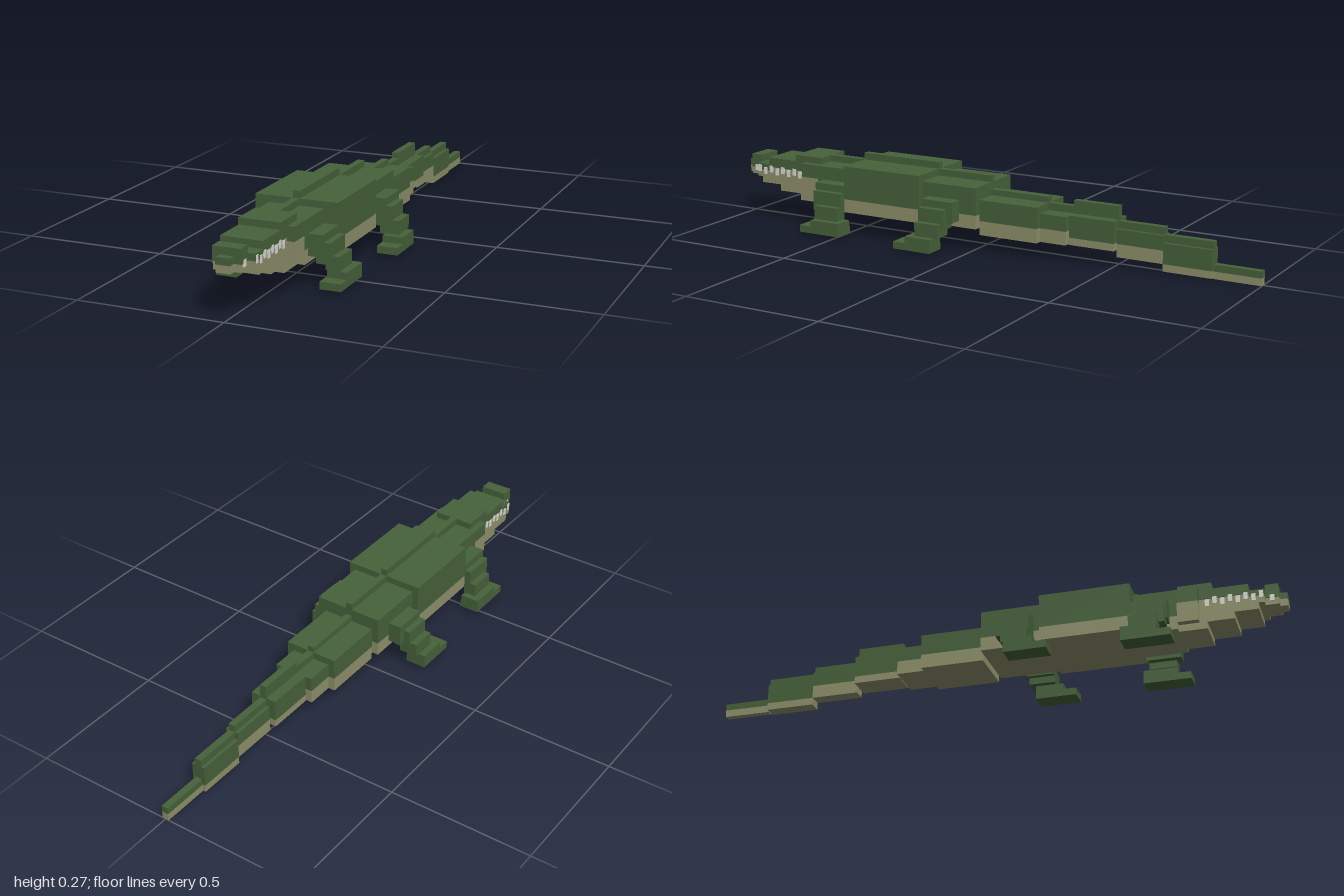
import * as THREE from 'three';

export function createModel() {
  const root = new THREE.Group();
  root.name = 'crocodile';
  const mat = (name, color) => {
    const m = new THREE.MeshStandardMaterial({ color });
    m.name = name;
    return m;
  };
  const green = mat('scaleGreen', 0x46623a);
  const tan = mat('bellyTan', 0x8f916b);
  const white = mat('toothWhite', 0xdcdcd6);

  // Box given by its limits on each axis
  const box = (name, m, x0, x1, y0, y1, z0, z1, parent = root) => {
    const mesh = new THREE.Mesh(new THREE.BoxGeometry(x1 - x0, y1 - y0, z1 - z0), m);
    mesh.position.set((x0 + x1) / 2, (y0 + y1) / 2, (z0 + z1) / 2);
    mesh.name = name;
    parent.add(mesh);
  };
  const mid = (name, m, w, y0, y1, z0, z1) => box(name, m, -w, w, y0, y1, z0, z1);

  // Trunk and tail: name, z0, z1, half width, bottom, colour split, back, ridge
  const segments = [
    ['tailTip', -1.0, -0.835, 0.012, 0.002, 0.027, 0.05, 0],
    ['tailFourth', -0.835, -0.665, 0.024, 0.005, 0.03, 0.1, 0.125],
    ['tailThird', -0.665, -0.5, 0.024, 0.03, 0.075, 0.125, 0.15],
    ['tailSecond', -0.5, -0.335, 0.047, 0.055, 0.08, 0.155, 0.2],
    ['tailFirst', -0.335, -0.24, 0.071, 0.058, 0.105, 0.155, 0.18],
    ['tailBase', -0.24, -0.02, 0.095, 0.058, 0.107, 0.18, 0.2],
    ['hips', -0.02, 0.19, 0.12, 0.083, 0.13, 0.225, 0.248],
    ['trunk', 0.19, 0.5, 0.143, 0.083, 0.13, 0.248, 0.272],
    ['neck', 0.5, 0.645, 0.095, 0.083, 0.13, 0.225, 0.248],
  ];
  for (const [name, z0, z1, w, bottom, split, back, ridge] of segments) {
    mid(name + 'Belly', tan, w, bottom, split, z0, z1);
    mid(name + 'Back', green, w, split, back, z0, z1);
    if (ridge) mid(name + 'Ridge', green, 0.012, back, ridge, z0, z1);
  }

  // Upper head
  mid('skull', green, 0.095, 0.177, 0.225, 0.645, 0.715);
  mid('brow', green, 0.071, 0.225, 0.248, 0.645, 0.76);
  mid('snout', green, 0.071, 0.19, 0.225, 0.715, 0.88);
  mid('snoutFront', green, 0.071, 0.177, 0.2, 0.88, 0.93);
  mid('nostrils', green, 0.047, 0.177, 0.225, 0.93, 0.975);
  mid('noseTip', green, 0.024, 0.177, 0.2, 0.975, 1.0);

  // Lower jaw, stepping up toward the nose
  mid('cheeks', tan, 0.095, 0.107, 0.177, 0.645, 0.715);
  mid('throat', tan, 0.071, 0.083, 0.107, 0.645, 0.74);
  mid('jawRear', tan, 0.071, 0.107, 0.177, 0.715, 0.83);
  mid('jawMiddle', tan, 0.071, 0.13, 0.177, 0.83, 0.91);
  mid('jawFront', tan, 0.071, 0.152, 0.177, 0.91, 0.93);
  mid('jawChin', tan, 0.045, 0.152, 0.177, 0.93, 0.975);
  mid('jawTip', tan, 0.024, 0.152, 0.177, 0.975, 1.0);
  mid('mouthInside', tan, 0.069, 0.175, 0.192, 0.715, 0.88);

  // Teeth: thin plates along both sides of the mouth
  for (const s of [-1, 1]) {
    for (let i = 0; i < 8; i++) {
      const z = 0.735 + i * 0.0255;
      const up = i % 2 ? 0.008 : 0;
      const x = s * 0.071;
      box('tooth', white, x - 0.002, x + 0.002, 0.162 + up, 0.187 + up, z, z + 0.014);
    }
    const x = s * 0.047;
    box('frontTooth', white, x - 0.002, x + 0.002, 0.165, 0.187, 0.945, 0.96);
  }

  // Legs, mirrored: each block is x0, x1, y0, y1, z0, z1
  const legs = {
    frontLeg: [
      ['shoulder', 0.09, 0.145, 0.105, 0.177, 0.5, 0.62],
      ['upperLeg', 0.12, 0.167, 0.082, 0.152, 0.5, 0.615],
      ['lowerLeg', 0.143, 0.19, 0.058, 0.105, 0.5, 0.595],
      ['ankle', 0.147, 0.215, 0.033, 0.058, 0.478, 0.595],
      ['foot', 0.143, 0.215, 0.01, 0.035, 0.478, 0.642],
    ],
    hindLeg: [
      ['thigh', 0.11, 0.167, 0.105, 0.177, 0.045, 0.165],
      ['knee', 0.13, 0.19, 0.082, 0.152, 0.068, 0.165],
      ['lowerLeg', 0.147, 0.214, 0.058, 0.105, 0.075, 0.165],
      ['ankle', 0.167, 0.238, 0.033, 0.058, 0.092, 0.19],
      ['foot', 0.165, 0.238, 0.01, 0.035, 0.092, 0.236],
    ],
  };
  for (const [legName, blocks] of Object.entries(legs)) {
    for (const s of [-1, 1]) {
      const leg = new THREE.Group();
      leg.name = (s > 0 ? 'left ' : 'right ') + legName;
      for (const [name, x0, x1, ...rest] of blocks) {
        box(name, green, s > 0 ? x0 : -x1, s > 0 ? x1 : -x0, ...rest, leg);
      }
      root.add(leg);
    }
  }
  return root;
}
